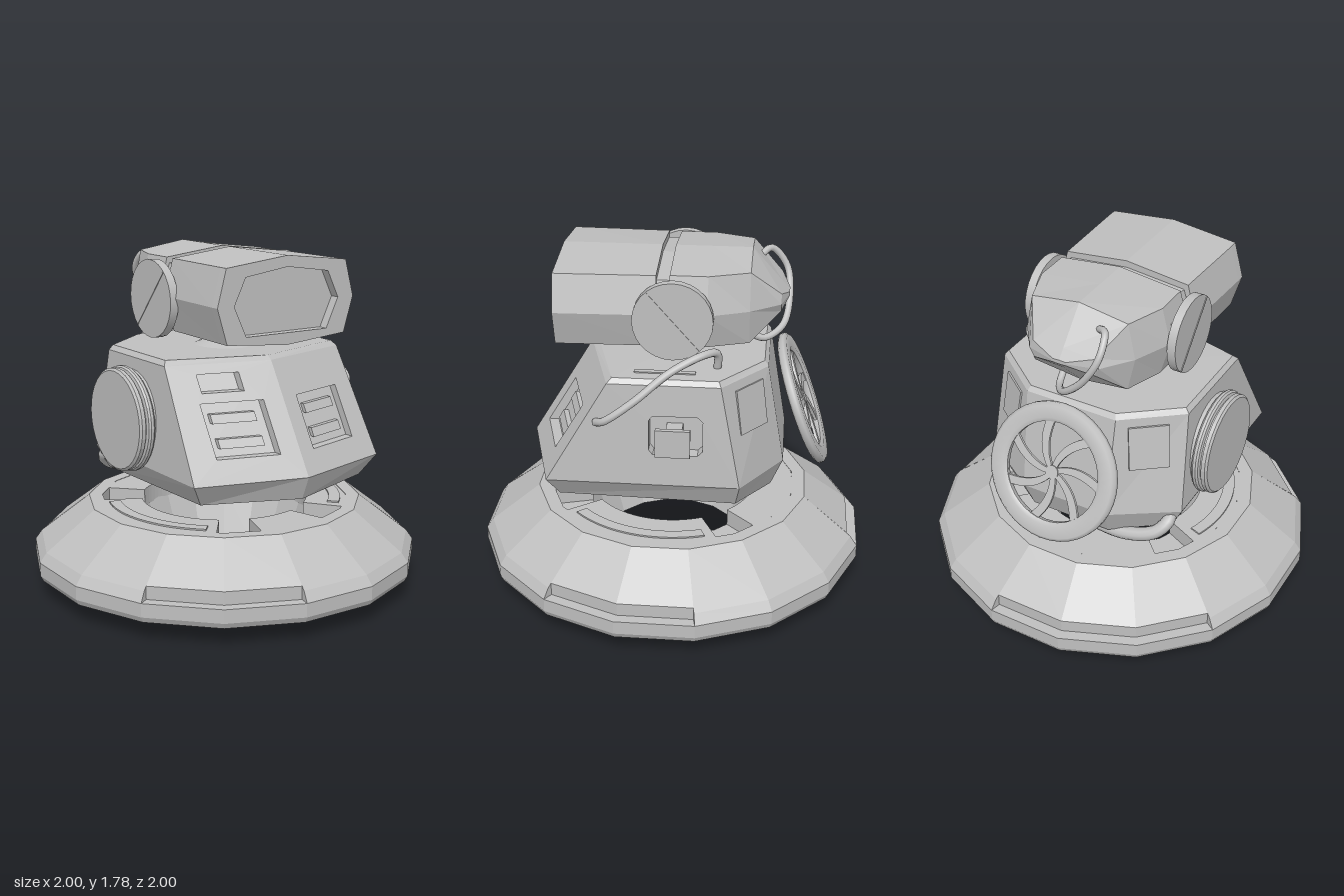
import * as THREE from 'three';

const V = (x, y, z) => new THREE.Vector3(x, y, z);
const V2 = (x, y) => new THREE.Vector2(x, y);
const rad = THREE.MathUtils.degToRad;

// Flat facets without touching the material
function flat(g) {
  const f = g.index ? g.toNonIndexed() : g;
  f.computeVertexNormals();
  return f;
}

// Skin a stack of rings (counter-clockwise seen from the last ring), capped at both ends
function loft(rings, skip = () => false) {
  const p = [];
  const tri = (...v) => v.forEach(a => p.push(a.x, a.y, a.z));
  const n = rings[0].length;
  for (let k = 0; k < rings.length - 1; k++) {
    for (let i = 0; i < n; i++) {
      if (skip(k, i)) continue;
      const j = (i + 1) % n, a = rings[k], b = rings[k + 1];
      tri(a[i], a[j], b[j]);
      tri(a[i], b[j], b[i]);
    }
  }
  [rings[0], rings[rings.length - 1]].forEach((r, end) => {
    const c = r.reduce((s, v) => s.add(v), V(0, 0, 0)).divideScalar(n);
    r.forEach((v, i) => end ? tri(c, v, r[(i + 1) % n]) : tri(c, r[(i + 1) % n], v));
  });
  const g = new THREE.BufferGeometry();
  g.setAttribute('position', new THREE.Float32BufferAttribute(p, 3));
  return flat(g);
}

// Move every vertex by a rule
function warp(g, rule) {
  const a = g.attributes.position;
  for (let i = 0; i < a.count; i++) a.setXYZ(i, ...rule(a.getX(i), a.getY(i), a.getZ(i)));
  return flat(g);
}

const rect = (x0, x1, y0, y1) => [V2(x0, y0), V2(x1, y0), V2(x1, y1), V2(x0, y1)];

// Plate of a given depth with openings, its outer face at z = 0
function plate(outline, holes, depth) {
  const s = new THREE.Shape(outline);
  holes.forEach(h => s.holes.push(new THREE.Path(h)));
  return new THREE.ExtrudeGeometry(s, { depth, bevelEnabled: false }).translate(0, 0, -depth);
}

export function createModel() {
  const model = new THREE.Group();
  const grey = new THREE.MeshStandardMaterial({ color: 0xbfbfbf, side: THREE.DoubleSide });
  grey.name = 'light grey';
  const group = name => {
    const g = new THREE.Group();
    g.name = name;
    model.add(g);
    return g;
  };
  const add = (parent, name, geo, pos) => {
    const m = new THREE.Mesh(geo, grey);
    m.name = name;
    if (pos) m.position.set(...pos);
    parent.add(m);
    return m;
  };
  const tube = (parent, name, pts, r) => add(parent, name,
    new THREE.TubeGeometry(new THREE.CatmullRomCurve3(pts.map(p => V(...p))), 40, r, 10));

  // ---- Base ring: sixteen sectors, some with a ledge cut into the rim
  const base = group('base');
  const K = 1 / Math.cos(Math.PI / 16), STEP = 22.5;
  const low = [[.355, .1], [.71, 0], [.985, .1], [1, .13], [1, .2]];
  const notch = [[.945, .2], [.945, .267]];
  const high = [[.965, .25], [.71, .45], [.64, .45], [.64, .36], [.44, .36], [.355, .1]];
  const cut = new Set([3, 4, 8, 9, 10, 14, 15]);
  for (let i = 0; i < 16; i++) {
    const prof = cut.has(i) ? [...low, ...notch, ...high.slice(1)] : [...low, ...high];
    const start = rad(-11.25 + i * STEP);
    add(base, 'baseSector', flat(new THREE.LatheGeometry(
      prof.map(p => V2(p[0] * K, p[1])), 1, start, rad(STEP))));
    if (cut.has(i) !== cut.has((i + 15) % 16)) {
      const end = new THREE.ShapeGeometry(new THREE.Shape(
        [V2(K, .2), V2(.965 * K, .25), V2(.945 * K, .267), V2(.945 * K, .2)]));
      add(base, 'ledgeEnd', end).rotation.y = start - Math.PI / 2;
    }
  }
  // Raised blocks around the opening, with gaps between them
  const arc = (r0, r1, a, b, h) => {
    const s = new THREE.Shape();
    s.absarc(0, 0, r1, rad(a - 90), rad(b - 90), false);
    s.absarc(0, 0, r0, rad(b - 90), rad(a - 90), true);
    return flat(new THREE.ExtrudeGeometry(s, { depth: h, bevelEnabled: false, curveSegments: 10 })
      .rotateX(-Math.PI / 2));
  };
  for (const [a, b] of [[-17, 17], [37, 115], [135, 225], [245, 323]])
    add(base, 'innerBlock', arc(.44, .65, a, b, .098), [0, .35, 0]);
  for (const [a, b] of [[42, 110], [250, 318]])
    add(base, 'track', arc(.56, .62, a, b, .008), [0, .448, 0]);

  // ---- Body: rings listed from the front centre round by +x
  const body = group('body');
  const ring = pts => {
    const half = pts.map(p => V(...p));
    return [...half, ...half.slice(1).reverse().map(v => V(-v.x, v.y, v.z))];
  };
  const rings = [
    [[0, .56, .48], [.35, .56, .4], [.4, .555, -.3], [.18, .555, -.48]],
    [[0, .6, .69], [.49, .61, .53], [.5, .6, -.36], [.22, .57, -.53]],
    [[0, .72, .74], [.56, .72, .586], [.56, .72, -.38], [.24, .72, -.59]],
    [[0, 1.25, .42], [.53, 1.25, .274], [.53, 1.25, -.28], [.25, 1.25, -.5]],
    [[0, 1.27, .39], [.51, 1.275, .25], [.51, 1.275, -.27], [.24, 1.275, -.48]],
  ].map(ring);
  add(body, 'bodyShell', loft(rings, (k, i) => k === 2 && [0, 1, 6].includes(i)));

  // Sloping front faces with recessed panels
  const front = (x, y, w) => [x, y, .74 - .275 * Math.abs(x) - .604 * (y - .72) + w];
  for (const s of [1, -1]) {
    const edge = [V2(0, .72), V2(s * .56, .72), V2(s * .53, 1.25), V2(0, 1.25)];
    const holes = [rect(s * .1, s * .415, .83, 1.075)];
    if (s < 0) holes.push(rect(-.39, -.18, 1.12, 1.205));
    add(body, 'frontFace', warp(plate(edge, holes, .05), front));
    add(body, 'frontRecess', warp(plate(edge, [], .01), (x, y, w) => front(x, y, w - .05)));
    for (const y of [.89, 1])
      add(body, 'frontSlot', warp(new THREE.BoxGeometry(.22, .042, .03),
        (x, v, w) => front(x + s * .26, v + y, w - .04)));
  }

  // Right side face with a recess and square knob
  const side = (u, y, w) => [.56 - .0566 * (y - .72) + w, y, -u];
  const sideEdge = [V2(-.586, .72), V2(.38, .72), V2(.28, 1.25), V2(-.274, 1.25)];
  const opening = [V2(-.07, .91), V2(-.05, .885), V2(.17, .885), V2(.195, .91),
    V2(.195, 1.065), V2(.17, 1.09), V2(-.05, 1.09), V2(-.07, 1.065)];
  add(body, 'sideFace', warp(plate(sideEdge, [opening], .07), side));
  add(body, 'sideRecess', warp(plate(sideEdge, [], .01), (u, y, w) => side(u, y, w - .07)));
  add(body, 'knobStem', new THREE.BoxGeometry(.14, .08, .08), [.54, .985, -.055]);
  add(body, 'knobCap', new THREE.BoxGeometry(.025, .145, .17), [.617, .985, -.055]);

  // Left side drum
  const drum = [[0, -.5], [.25, -.5], [.25, .56], [.262, .56], [.27, .57], [.27, .585], [.262, .595],
    [.245, .6], [.245, .608], [.262, .612], [.262, .632], [.25, .642], [0, .642]];
  const drumGeo = flat(new THREE.LatheGeometry(drum.map(p => V2(p[0], Math.abs(p[1]))), 32));
  add(body, 'sideDrum', drumGeo, [0, .94, -.03]).rotation.z = Math.PI / 2;

  // Vents on the rear corners, top slot and neck
  for (const s of [1, -1]) {
    const vent = add(body, 'rearVent', new THREE.BoxGeometry(.2, .23, .025), [s * .39, 1.09, -.42]);
    vent.rotation.set(-.16, s * -.66 , 0, 'YXZ');
    vent.rotation.x = .16;
  }
  add(body, 'topSlot', new THREE.BoxGeometry(.03, .008, .3), [.43, 1.277, 0]);
  add(body, 'neck', new THREE.CylinderGeometry(.07, .18, .035, 24), [0, 1.285, 0]);

  // Hoses
  tube(body, 'lowerHose', [[.24, .58, -.4], [.12, .545, -.44], [-.08, .54, -.47], [-.3, .555, -.49],
    [-.45, .6, -.46], [-.5, .66, -.4], [-.46, .69, -.34]], .035);
  tube(body, 'sideHose', [[.34, 1.26, -.25], [.37, 1.36, -.25], [.43, 1.375, -.19], [.51, 1.31, -.03],
    [.58, 1.18, .14], [.595, 1.08, .28], [.55, 1.05, .33]], .02);

  // ---- Rear fan wheel, leaning towards the body
  const wheel = group('fanWheel');
  wheel.position.set(0, .965, -.68);
  wheel.rotation.x = Math.atan2(.25, .65);
  const rim = [[.255, -.012], [.275, -.025], [.335, -.025], [.352, -.01], [.352, .012],
    [.335, .025], [.275, .025], [.255, .012], [.255, -.012]];
  add(wheel, 'wheelRim', new THREE.LatheGeometry(rim.map(p => V2(...p)), 40)).rotation.x = Math.PI / 2;
  add(wheel, 'wheelHub', new THREE.CylinderGeometry(.035, .035, .025, 16)).rotation.x = Math.PI / 2;
  const blade = new THREE.Shape();
  blade.moveTo(0, -.012);
  blade.quadraticCurveTo(.15, -.03, .25, .1);
  blade.lineTo(.225, .14);
  blade.quadraticCurveTo(.13, .01, 0, .012);
  const bladeGeo = new THREE.ExtrudeGeometry(blade, { depth: .015, bevelEnabled: false }).translate(0, 0, -.0075);
  for (let i = 0; i < 7; i++) add(wheel, 'fanBlade', bladeGeo).rotation.z = i * Math.PI * 2 / 7;

  // ---- Head: eight-sided section, deep visor in front and tapered back
  const head = group('head');
  const oct = [[0, .225], [-.355, .185], [-.405, 0], [-.35, -.18], [0, -.21], [.35, -.18], [.405, 0], [.355, .185]];
  const outline = oct.map(p => V2(p[0], p[1] + 1.555));
  const section = (z, sx, sy) => oct.map(p => V(p[0] * sx, 1.555 + p[1] * sy, z));
  const windowHole = [[0, .17], [-.245, .135], [-.31, 0], [-.24, -.15], [.24, -.15], [.31, 0], [.245, .135]]
    .map(p => V2(p[0], p[1] + 1.555));
  add(head, 'visorFrame', flat(plate(outline, [windowHole], .05)), [0, 0, .55]);
  add(head, 'visorShell', loft([section(.05, .96, 1), section(.5, 1, 1)]));
  add(head, 'headCore', loft([section(-.05, .9, .84), section(.08, .9, .84)]));
  add(head, 'headBack', loft([
    section(-.59, .1, .05), section(-.55, .47, .25), section(-.4, .74, 1),
    section(-.2, .94, 1), section(-.015, .94, 1)]));
  for (const s of [1, -1]) {
    // Side strap of the visor and the ear disc
    add(head, 'visorStrap', new THREE.BoxGeometry(.03, .18, .24), [s * .372, 1.55, -.04]);
    add(head, 'earDisc', new THREE.CylinderGeometry(.197, .197, .045, 28), [s * .4, 1.535, -.035])
      .rotation.z = Math.PI / 2;
    add(head, 'earRidge', new THREE.BoxGeometry(.006, .008, .385), [s * .423, 1.535, -.035])
      .rotation.x = -.85;
  }
  tube(head, 'headHose', [[-.12, 1.69, -.43], [-.19, 1.715, -.49], [-.2, 1.62, -.57], [-.12, 1.48, -.59],
    [0, 1.37, -.56], [.08, 1.33, -.47], [.1, 1.36, -.4]], .018);

  return model;
}
